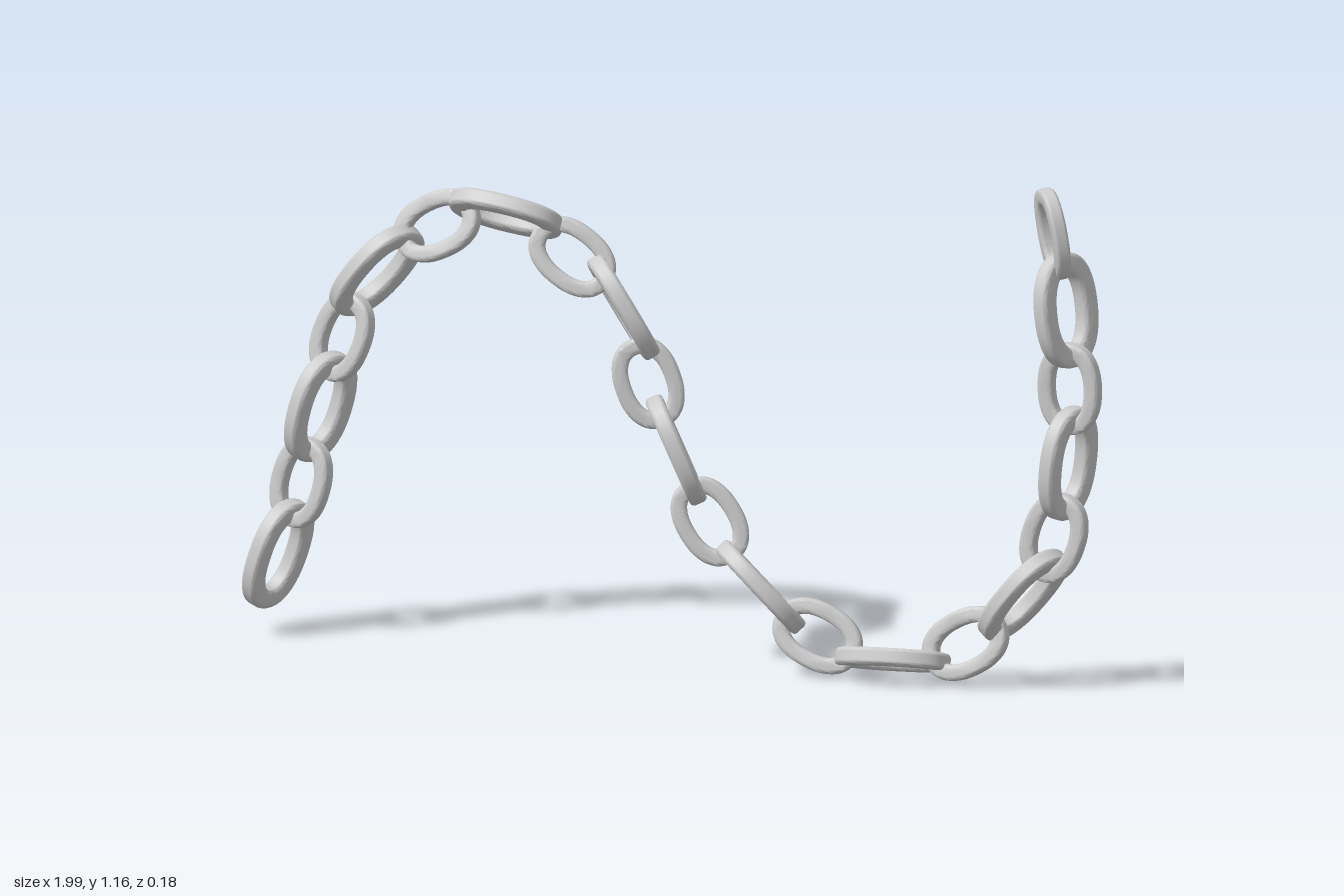
import * as THREE from 'three';
import { toCreasedNormals } from 'three/addons/utils/BufferGeometryUtils.js';

// Rounded oval outline, slightly fuller than an ellipse
function oval(halfW, halfL, n = 48) {
  const pts = [];
  const bulge = (v) => Math.sign(v) * Math.abs(v) ** 0.88;
  for (let i = 0; i < n; i++) {
    const a = (i / n) * Math.PI * 2;
    pts.push(new THREE.Vector2(halfW * bulge(Math.cos(a)), halfL * bulge(Math.sin(a))));
  }
  return pts;
}

// One flat oval ring with softened edges, long axis along y
function linkGeometry(width, length, band, thick) {
  const bevel = thick * 0.25;
  const shape = new THREE.Shape(oval(width / 2, length / 2));
  shape.holes.push(new THREE.Path(oval(width / 2 - band, length / 2 - band).reverse()));
  const geo = new THREE.ExtrudeGeometry(shape, {
    depth: thick - 2 * bevel, bevelEnabled: true, bevelThickness: bevel,
    bevelSize: bevel, bevelOffset: -bevel, bevelSegments: 3, steps: 1,
  });
  geo.translate(0, 0, -(thick / 2 - bevel));
  return toCreasedNormals(geo, 0.7);
}

// Link centres and roll about the chain: x, y, degrees
const LINKS = [
  [-0.925, 0.193, 23], [-0.87, 0.363, 22], [-0.826, 0.54, 28], [-0.775, 0.706, 24],
  [-0.695, 0.864, 28], [-0.553, 0.979, 22], [-0.393, 1.018, 33], [-0.238, 0.93, 18],
  [-0.12, 0.821, 24], [-0.061, 0.652, 18], [0.003, 0.5, 20], [0.083, 0.342, 18],
  [0.2, 0.198, 21], [0.334, 0.096, 17], [0.508, 0.053, 19], [0.679, 0.104, 15],
  [0.813, 0.225, 20], [0.885, 0.364, 10], [0.917, 0.537, 19], [0.922, 0.711, 9],
  [0.912, 0.89, 25], [0.882, 1.065, 57],
];

export function createModel() {
  const chain = new THREE.Group();
  chain.name = 'chain';
  const material = new THREE.MeshStandardMaterial({ color: 0xcccccc });
  const large = linkGeometry(0.182, 0.262, 0.046, 0.04);
  const small = linkGeometry(0.15, 0.21, 0.036, 0.034);
  const last = LINKS.length - 1;

  LINKS.forEach(([x, y, roll], i) => {
    // Chain direction from the neighbouring links
    const a = LINKS[Math.max(i - 1, 0)];
    const b = LINKS[Math.min(i + 1, last)];
    const along = new THREE.Vector3(b[0] - a[0], b[1] - a[1], 0).normalize();
    const side = new THREE.Vector3(-along.y, along.x, 0);
    const isLarge = i % 2 === 0;

    // Large links lie across the chain's plane, small links lie in it
    const angle = THREE.MathUtils.degToRad(isLarge ? 90 - roll : -roll);
    const wide = side.multiplyScalar(Math.cos(angle)).add(new THREE.Vector3(0, 0, Math.sin(angle)));
    const normal = new THREE.Vector3().crossVectors(wide, along);

    const link = new THREE.Mesh(isLarge ? large : small, material);
    link.name = `${isLarge ? 'large' : 'small'}Link${i + 1}`;
    link.quaternion.setFromRotationMatrix(new THREE.Matrix4().makeBasis(wide, along, normal));
    link.position.set(x, y, isLarge ? 0 : 0.004);
    chain.add(link);
  });
  return chain;
}
